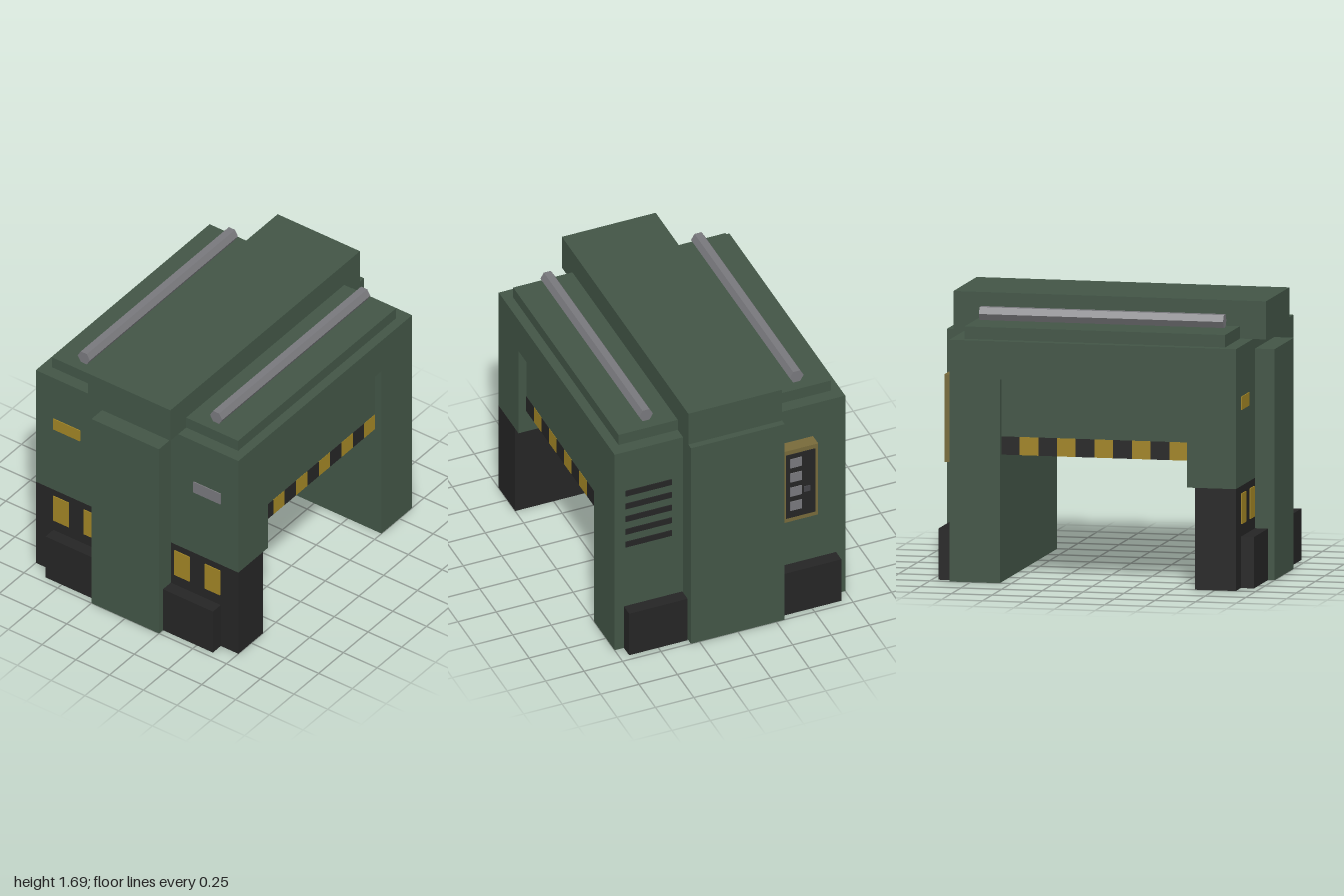
import * as THREE from 'three';

const mat = (name, color) => {
  const m = new THREE.MeshStandardMaterial({ color });
  m.name = name;
  return m;
};

export function createModel() {
  const green = mat('armour green', 0x425546);
  const black = mat('charcoal', 0x252525);
  const yellow = mat('warning yellow', 0xa08425);
  const grey = mat('steel grey', 0x78787c);
  const brass = mat('dull brass', 0x776a3a);
  const darkGrey = mat('dark grey', 0x444448);

  const model = new THREE.Group();
  model.name = 'gantryMachine';

  // Box given by its lower and upper limits on each axis
  const box = (name, material, [x0, x1], [y0, y1], [z0, z1], parent = model) => {
    const mesh = new THREE.Mesh(new THREE.BoxGeometry(x1 - x0, y1 - y0, z1 - z0), material);
    mesh.position.set((x0 + x1) / 2, (y0 + y1) / 2, (z0 + z1) / 2);
    mesh.name = name;
    parent.add(mesh);
    return mesh;
  };
  const group = (name) => {
    const g = new THREE.Group();
    g.name = name;
    model.add(g);
    return g;
  };

  // Arch shell: side profile (z, y) extruded across the width
  const profile = new THREE.Shape([
    [-0.88, 0], [-0.57, 0], [-0.57, 1.23], [0.58, 1.23],
    [0.58, 0.615], [0.88, 0.615], [0.88, 1.46], [-0.88, 1.46],
  ].map(([z, y]) => new THREE.Vector2(-z, y)));
  const shellGeo = new THREE.ExtrudeGeometry(profile, { depth: 1.5, bevelEnabled: false });
  shellGeo.translate(0, 0, -0.75).rotateY(Math.PI / 2);
  const shell = new THREE.Mesh(shellGeo, green);
  shell.name = 'archShell';
  model.add(shell);

  // Lower front leg and feet
  box('frontLeg', black, [-0.75, 0.75], [0, 0.615], [0.63, 0.88]);
  for (const s of [-1, 1]) {
    const span = (a, b) => (s > 0 ? [a, b] : [-b, -a]);
    box('frontFoot', black, span(0.25, 0.62), [0, 0.31], [0.88, 0.96]);
    box('backFoot', black, span(0.31, 0.69), [0, 0.31], [-0.96, -0.88]);
  }

  // Columns, roof plate and roof spine
  box('frontColumn', green, [-0.25, 0.25], [0, 1.395], [0.88, 1]);
  box('backColumn', green, [-0.305, 0.305], [0, 1.46], [-1, -0.88]);
  box('roofPlate', green, [-0.69, 0.69], [1.46, 1.535], [-0.8, 0.8]);
  box('roofSpine', green, [-0.305, 0.305], [1.46, 1.69], [-0.96, 0.96]);

  // Hexagonal roof rails
  for (const x of [-0.49, 0.49]) {
    const geo = new THREE.CylinderGeometry(0.045, 0.045, 1.5, 6, 1, false, Math.PI / 6).toNonIndexed();
    geo.rotateX(Math.PI / 2);
    geo.computeVertexNormals();
    const rail = new THREE.Mesh(geo, grey);
    rail.position.set(x, 1.59, 0);
    rail.name = 'roofRail';
    model.add(rail);
  }

  // Side curtains with a hazard strip, the second turned half a circle
  for (const turned of [false, true]) {
    const curtain = group('sideCurtain');
    box('curtainPanel', green, [0.65, 0.7], [0.88, 1.23], [-0.575, 0.575], curtain);
    const step = 1.15 / 10;
    for (let i = 0; i < 10; i++) {
      const z = 0.575 - i * step;
      box('hazardBlock', i % 2 ? yellow : black, [0.65, 0.702], [0.77, 0.88], [z - step, z], curtain);
    }
    if (turned) curtain.rotation.y = Math.PI;
  }

  // Front markers and lamps
  const frontZ = [0.88, 0.886];
  box('rightMarker', yellow, [-0.62, -0.42], [1.075, 1.155], frontZ);
  box('leftMarker', grey, [0.42, 0.62], [1.075, 1.155], frontZ);
  for (const x of [-0.56, -0.335, 0.335, 0.56]) {
    box('frontLamp', yellow, [x - 0.057, x + 0.057], [0.385, 0.57], frontZ);
  }

  // Vent slits on the back
  for (let i = 0; i < 5; i++) {
    const y = 1.15 - i * 0.095;
    box('ventSlit', black, [0.38, 0.68], [y - 0.02, y + 0.02], [-0.886, -0.88]);
  }

  // Control panel on the back
  const panel = group('controlPanel');
  box('panelCase', brass, [-0.54, -0.31], [0.69, 1.22], [-0.96, -0.88], panel);
  box('panelFace', black, [-0.52, -0.33], [0.72, 1.19], [-0.964, -0.96], panel);
  for (let i = 0; i < 4; i++) {
    const y = 1.125 - i * 0.106;
    box('panelKey', grey, [-0.43, -0.355], [y - 0.033, y + 0.033], [-0.969, -0.964], panel);
  }
  box('panelKnob', darkGrey, [-0.485, -0.445], [0.89, 0.93], [-0.969, -0.964], panel);

  return model;
}
